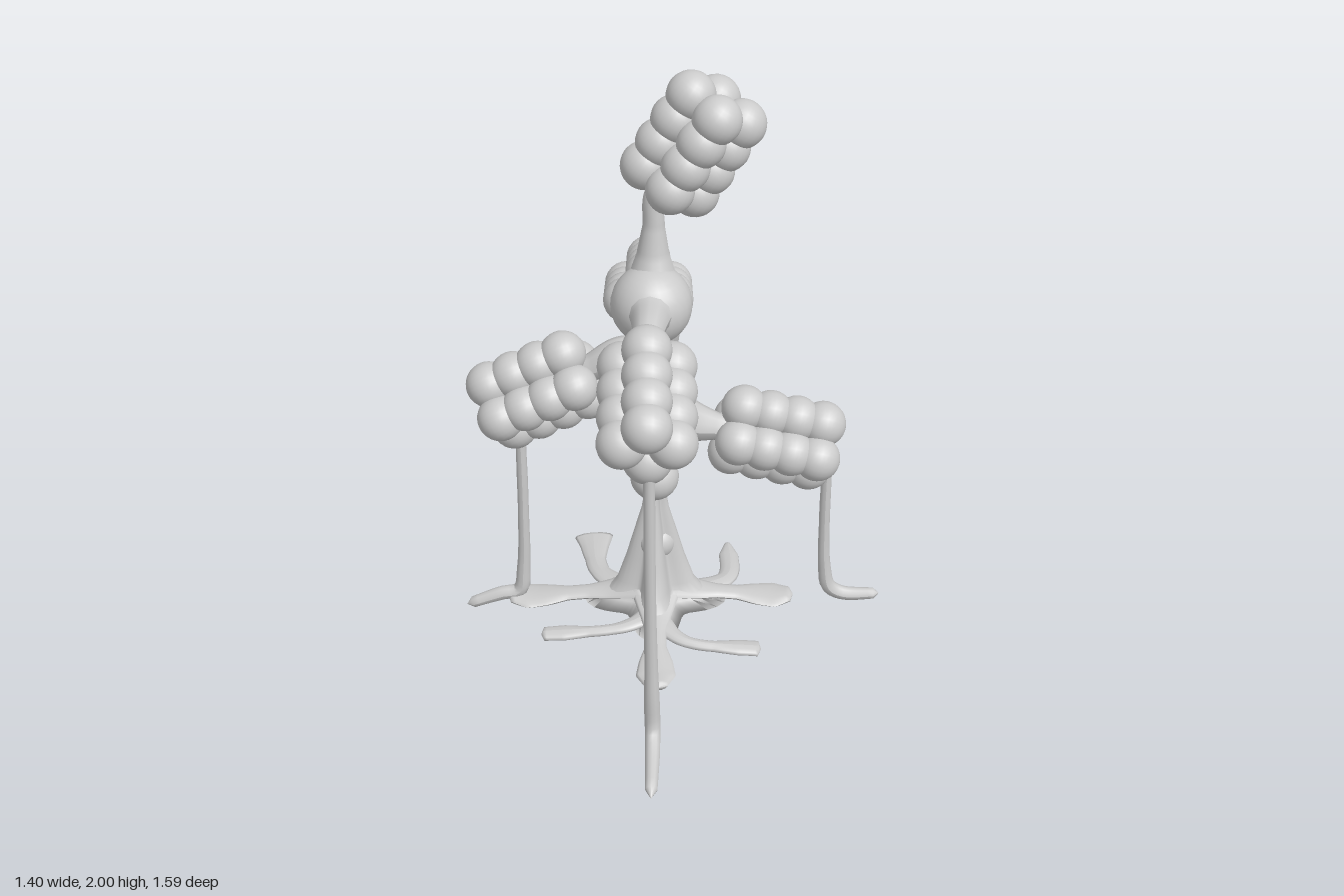
import * as THREE from 'three';

const V = (x, y, z) => new THREE.Vector3(x, y, z);

export function createModel() {
  const root = new THREE.Group();
  const mat = new THREE.MeshStandardMaterial({ color: 0xcccccc, side: THREE.DoubleSide });

  function add(geo, name, parent = root) {
    const m = new THREE.Mesh(geo, mat);
    m.name = name;
    parent.add(m);
    return m;
  }

  function ball(x, y, z, r, name, parent) {
    add(new THREE.SphereGeometry(r, 24, 16), name, parent).position.set(x, y, z);
  }

  // Tapered closed tube along points; radii are evenly spread, flat limits the vertical thickness
  function limb(pts, radii, name, flat = 1, sides = 12) {
    const n = 40, curve = new THREE.CatmullRomCurve3(pts, false, 'centripetal');
    const geo = new THREE.TubeGeometry(curve, n, 1, sides, false);
    const p = geo.attributes.position, v = V(0, 0, 0);
    for (let i = 0; i <= n; i++) {
      const c = curve.getPointAt(i / n);
      const f = (i / n) * (radii.length - 1), k = Math.min(Math.floor(f), radii.length - 2);
      const r = i % n === 0 ? 0.001 : THREE.MathUtils.lerp(radii[k], radii[k + 1], f - k);
      for (let j = 0; j <= sides; j++) {
        const id = i * (sides + 1) + j;
        v.fromBufferAttribute(p, id).sub(c);
        v.set(v.x * r, v.y * Math.min(flat, r), v.z * r).add(c);
        p.setXYZ(id, v.x, v.y, v.z);
      }
    }
    geo.computeVertexNormals();
    add(geo, name);
  }

  // Cluster of beads: four columns of four around a core, leaning in one upright plane
  function cluster(center, dir, name) {
    const g = new THREE.Group();
    g.name = name;
    g.position.copy(center);
    g.quaternion.setFromUnitVectors(V(0, 1, 0), dir.clone().normalize());
    const alongZ = Math.abs(dir.z) > 0.01;
    const rx = alongZ ? 0.073 : 0.087, rz = alongZ ? 0.087 : 0.073;
    for (let row = 0; row < 4; row++) {
      for (let k = 0; k < 4; k++) {
        const a = k * Math.PI / 2;
        ball(rx * Math.cos(a), (row - 1.5) * 0.087, rz * Math.sin(a), 0.074, 'bead', g);
      }
    }
    add(new THREE.CylinderGeometry(0.06, 0.06, 0.3, 16), 'clusterCore', g);
    root.add(g);
  }

  // Fluted base of the trunk
  const base = new THREE.LatheGeometry(
    [[0.001, 0.085], [0.24, 0.092], [0.17, 0.12], [0.13, 0.18], [0.097, 0.28], [0.07, 0.38], [0.045, 0.47], [0.034, 0.54], [0.034, 0.62]]
      .map(([r, y]) => new THREE.Vector2(r, y)), 48);
  const bp = base.attributes.position;
  for (let i = 0; i < bp.count; i++) {
    const x = bp.getX(i), z = bp.getZ(i);
    const s = 0.78 + 0.22 * Math.cos(4 * Math.atan2(z, x));
    bp.setX(i, x * s);
    bp.setZ(i, z * s);
  }
  base.computeVertexNormals();
  add(base, 'trunkBase').position.set(-0.06, 0, -0.09);

  // Trunk, neck and knots
  limb([V(-0.06, 0.52, -0.09), V(-0.062, 0.72, -0.095), V(-0.066, 0.9, -0.1), V(-0.066, 1.08, -0.1), V(-0.066, 1.27, -0.06)],
    [0.03, 0.045, 0.075, 0.08, 0.1], 'trunk', 1, 16);
  limb([V(-0.066, 1.24, -0.06), V(-0.063, 1.4, -0.08), V(-0.06, 1.52, -0.086), V(-0.058, 1.62, -0.088), V(-0.01, 1.68, -0.09)],
    [0.12, 0.08, 0.05, 0.034, 0.03, 0.03], 'neck', 1, 16);
  ball(-0.055, 0.33, -0.1, 0.066, 'smallKnot');
  ball(-0.062, 0.59, -0.095, 0.08, 'lowerKnot');
  ball(-0.066, 0.86, -0.095, 0.13, 'middleKnot');
  ball(-0.068, 1.27, -0.038, 0.126, 'upperKnot');

  // Branches from the trunk to the clusters
  limb([V(-0.068, 1.27, -0.04), V(-0.072, 1.29, 0.09), V(-0.078, 1.295, 0.2), V(-0.08, 1.25, 0.32)],
    [0.1, 0.06, 0.042, 0.035], 'frontBranch');
  limb([V(-0.066, 1.27, -0.06), V(-0.068, 1.21, -0.16), V(-0.078, 1.14, -0.28), V(-0.08, 1.1, -0.4)],
    [0.1, 0.085, 0.05, 0.035], 'backBranch');
  limb([V(-0.066, 1.02, -0.095), V(-0.16, 1.045, -0.1), V(-0.25, 1.01, -0.1), V(-0.34, 0.96, -0.1)],
    [0.08, 0.065, 0.045, 0.035], 'rightBranch');
  limb([V(-0.066, 0.85, -0.095), V(0.06, 0.8, -0.1), V(0.14, 0.78, -0.1), V(0.24, 0.755, -0.1)],
    [0.11, 0.075, 0.045, 0.035], 'leftBranch');

  // Bead clusters
  cluster(V(0.057, 1.78, -0.09), V(0.52, 0.855, 0), 'topCluster');
  cluster(V(-0.08, 1.2, 0.415), V(0, -0.43, 0.9), 'frontCluster');
  cluster(V(-0.08, 1.05, -0.502), V(0, -0.3, -0.95), 'backCluster');
  cluster(V(-0.428, 0.92, -0.1), V(-0.9, -0.43, 0), 'rightCluster');
  cluster(V(0.332, 0.735, -0.1), V(0.97, -0.24, 0), 'leftCluster');

  // Hanging stalks with bent, blunt feet
  const stalk = [0.018, 0.017, 0.018, 0.018, 0.019, 0.021, 0.025, 0.023, 0.018];
  limb([V(-0.075, 1.12, 0.54), V(-0.075, 0.6, 0.552), V(-0.072, 0.24, 0.56), V(-0.07, 0.09, 0.572), V(-0.07, 0.06, 0.62), V(-0.075, 0.022, 0.795)],
    stalk, 'frontStalk');
  limb([V(-0.07, 0.98, -0.65), V(-0.068, 0.55, -0.656), V(-0.064, 0.2, -0.66), V(-0.062, 0.08, -0.67), V(-0.06, 0.05, -0.7), V(-0.06, 0.025, -0.795)],
    stalk, 'backStalk');
  limb([V(-0.492, 0.8, -0.1), V(-0.495, 0.45, -0.1), V(-0.503, 0.22, -0.1), V(-0.52, 0.12, -0.1), V(-0.58, 0.105, -0.1), V(-0.7, 0.062, -0.095)],
    stalk, 'rightStalk');
  limb([V(0.5, 0.66, -0.1), V(0.5, 0.4, -0.1), V(0.507, 0.22, -0.1), V(0.525, 0.13, -0.1), V(0.57, 0.1, -0.1), V(0.695, 0.1, -0.095)],
    stalk, 'leftStalk');

  // Four flat main roots with flared tips
  for (const [x, z] of [[-0.56, -0.1], [0.405, -0.1], [-0.06, 0.38], [-0.06, -0.52]]) {
    const at = (t, y) => V(THREE.MathUtils.lerp(-0.06, x, t), y, THREE.MathUtils.lerp(-0.09, z, t));
    limb([at(0.05, 0.16), at(0.3, 0.125), at(0.6, 0.105), at(0.85, 0.092), at(1, 0.095)],
      [0.09, 0.07, 0.05, 0.035, 0.035, 0.055, 0.065, 0.03], 'mainRoot', 0.015);
  }

  // Side roots forking off the main ones: start, bend, tip, then widths
  const sideRoots = [
    [-0.14, -0.1, -0.25, -0.22, -0.28, -0.455, [0.05, 0.045, 0.036, 0.036, 0.05, 0.07]],
    [0.06, -0.1, 0.18, -0.18, 0.193, -0.4, [0.05, 0.04, 0.034, 0.034, 0.034, 0.01]],
    [-0.06, 0.02, -0.17, 0.08, -0.44, 0.09, [0.05, 0.03, 0.022, 0.022, 0.035, 0.03]],
    [-0.06, 0.06, 0.04, 0.155, 0.285, 0.17, [0.05, 0.03, 0.022, 0.022, 0.035, 0.035]],
  ];
  for (const [x0, z0, x1, z1, x2, z2, widths] of sideRoots) {
    limb([V(x0, 0.115, z0), V(x1, 0.1, z1), V(x2, 0.08, z2)], widths, 'sideRoot', 0.015);
  }

  return root;
}
